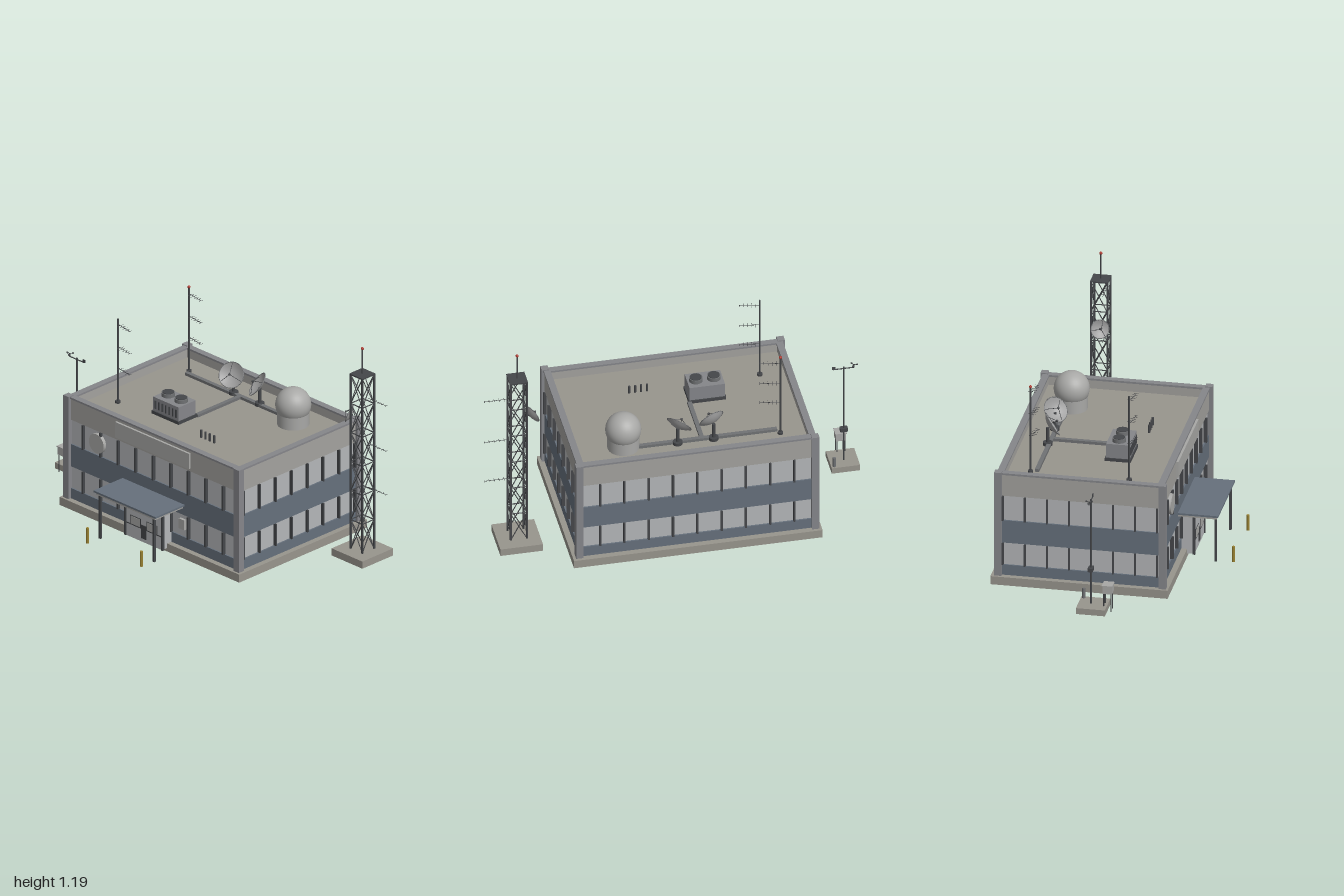
import * as THREE from 'three';

const mat = (color, side = THREE.FrontSide) => new THREE.MeshStandardMaterial({ color, side });
const M = {
  wall: mat(0xa3a29e), roof: mat(0x98958d), trim: mat(0x85868a), blue: mat(0x66707c),
  glass: mat(0xb4b6b8), dark: mat(0x45474a), metal: mat(0x707274), white: mat(0xa8a8a6),
  dish: mat(0xa0a0a0, THREE.DoubleSide), yellow: mat(0x9a8232), red: mat(0xb03a30),
};

export function createModel() {
  const root = new THREE.Group();
  const add = (name, geo, m, x, y, z, parent = root) => {
    const mesh = new THREE.Mesh(geo, m);
    mesh.name = name;
    mesh.position.set(x, y, z);
    parent.add(mesh);
    return mesh;
  };
  const group = (name) => {
    const g = new THREE.Group();
    g.name = name;
    root.add(g);
    return g;
  };
  // Box given by its limits on each axis
  const box = (name, m, x0, x1, y0, y1, z0, z1, parent) =>
    add(name, new THREE.BoxGeometry(x1 - x0, y1 - y0, z1 - z0), m, (x0 + x1) / 2, (y0 + y1) / 2, (z0 + z1) / 2, parent);
  const cyl = (name, m, r, x, y0, y1, z, parent, seg = 12) =>
    add(name, new THREE.CylinderGeometry(r, r, y1 - y0, seg), m, x, (y0 + y1) / 2, z, parent);
  const V = (x, y, z) => new THREE.Vector3(x, y, z);
  const rod = (name, m, a, b, r, parent, seg = 6) => {
    const d = b.clone().sub(a);
    const mesh = add(name, new THREE.CylinderGeometry(r, r, d.length(), seg), m, 0, 0, 0, parent);
    mesh.position.copy(a).addScaledVector(d, 0.5);
    mesh.quaternion.setFromUnitVectors(V(0, 1, 0), d.normalize());
    return mesh;
  };

  // Building shell: plinth and stacked wall bands
  const X0 = -0.67, X1 = 0.56, Z0 = -0.555, Z1 = 0.3, CX = -0.056, CZ = -0.128, ROOF = 0.555;
  const building = group('building');
  box('plinth', M.roof, -0.7, 0.59, 0, 0.045, -0.587, 0.33, building);
  const bands = [['baseBand', M.blue, 0.045, 0.102, 0], ['lowerWindows', M.glass, 0.102, 0.225, 0.008],
    ['middleBand', M.blue, 0.225, 0.35, 0], ['upperWindows', M.glass, 0.35, 0.487, 0.008], ['upperWall', M.wall, 0.487, ROOF, 0]];
  for (const [name, m, y0, y1, inset] of bands)
    box(name, m, X0 + inset, X1 - inset, y0, y1, Z0 + inset, Z1 - inset, building);
  box('roofDeck', M.roof, X0 + 0.02, X1 - 0.02, ROOF, ROOF + 0.003, Z0 + 0.02, Z1 - 0.02, building);

  // Parapet with coping, and corner pilasters
  const T = 0.025;
  for (const [x0, x1, z0, z1] of [[X0, X1, Z1 - T, Z1], [X0, X1, Z0, Z0 + T], [X0, X0 + T, Z0 + T, Z1 - T], [X1 - T, X1, Z0 + T, Z1 - T]]) {
    box('parapet', M.wall, x0, x1, ROOF, 0.605, z0, z1, building);
    box('coping', M.trim, x0 - 0.005, x1 + 0.005, 0.605, 0.615, z0 - 0.005, z1 + 0.005, building);
  }
  for (const x of [-0.668, 0.556])
    for (const z of [-0.552, 0.299]) box('cornerPilaster', M.trim, x - 0.019, x + 0.019, 0.045, 0.62, z - 0.019, z + 0.019, building);

  // Window mullions on all four sides
  for (const [y0, y1] of [[0.102, 0.225], [0.35, 0.487]]) {
    for (let i = -4; i <= 4; i++)
      for (const z of [Z0, Z1]) box('mullion', M.dark, CX + i * 0.126 - 0.005, CX + i * 0.126 + 0.005, y0, y1, z - 0.009, z + 0.009, building);
    for (let i = 0; i < 8; i++) {
      const z = 0.27 - i * 0.114;
      for (const x of [X0, X1]) box('mullion', M.dark, x - 0.009, x + 0.009, y0, y1, z - 0.004, z + 0.004, building);
    }
  }

  // Blank sign panel and round wall plate
  box('signPanel', M.white, -0.32, 0.21, 0.503, 0.59, Z1, Z1 + 0.012, building);
  add('wallPlate', new THREE.CylinderGeometry(0.053, 0.053, 0.02, 32), M.white, -0.457, 0.42, Z1, building).rotation.x = Math.PI / 2;
  box('intercom', M.white, 0.14, 0.18, 0.15, 0.205, Z1, Z1 + 0.015, building);

  // Entrance with canopy, posts and bollards
  const entrance = group('entrance');
  box('canopyTop', M.blue, -0.278, 0.166, 0.275, 0.285, 0.3, 0.508, entrance);
  box('canopyFascia', M.wall, -0.268, 0.156, 0.262, 0.275, 0.3, 0.5, entrance);
  box('canopyLamp', M.dark, -0.08, -0.03, 0.256, 0.262, 0.39, 0.42, entrance);
  for (const x of [-0.247, 0.139]) {
    box('canopyPost', M.dark, x - 0.006, x + 0.006, 0.02, 0.265, 0.484, 0.496, entrance);
    cyl('bollard', M.yellow, 0.008, x, 0.025, 0.11, 0.582, entrance);
  }
  box('vestibule', M.glass, -0.185, 0.073, 0.02, 0.24, 0.29, 0.368, entrance);
  for (const x of [-0.189, 0.077]) box('doorFrameSide', M.dark, x - 0.006, x + 0.006, 0.02, 0.245, 0.36, 0.373, entrance);
  box('doorFrameTop', M.dark, -0.189, 0.077, 0.238, 0.247, 0.36, 0.373, entrance);
  box('doorRail', M.dark, -0.185, 0.073, 0.092, 0.097, 0.366, 0.371, entrance);
  for (const x of [-0.115, 0.003]) {
    box('doorPanelFrame', M.dark, x - 0.038, x + 0.038, 0.095, 0.145, 0.366, 0.37, entrance);
    box('doorPanel', M.white, x - 0.034, x + 0.034, 0.098, 0.141, 0.366, 0.372, entrance);
  }
  box('doorLock', M.dark, -0.075, -0.037, 0.04, 0.115, 0.366, 0.371, entrance);

  // Rooftop cooling unit
  const cooler = group('coolingUnit');
  box('coolerBase', M.dark, -0.308, -0.114, ROOF, 0.575, -0.072, 0.062, cooler);
  box('coolerBody', M.trim, -0.303, -0.119, 0.575, 0.652, -0.066, 0.056, cooler);
  for (const x of [-0.257, -0.164]) {
    cyl('fanHousing', M.metal, 0.035, x, 0.652, 0.672, -0.007, cooler, 24);
    cyl('fanGrille', M.dark, 0.03, x, 0.67, 0.675, -0.007, cooler, 24);
  }
  for (let i = 0; i < 7; i++) {
    const x = -0.285 + i * 0.025;
    box('louvre', M.dark, x - 0.005, x + 0.005, 0.59, 0.635, 0.055, 0.06, cooler);
  }

  // Cable trays and vent pipes
  box('mainCableTray', M.metal, -0.505, 0.22, ROOF, 0.573, -0.395, -0.373, building);
  box('branchCableTray', M.metal, -0.128, -0.106, ROOF, 0.573, -0.373, -0.07, building);
  for (let i = 0; i < 4; i++) cyl('ventPipe', M.dark, 0.006, 0.07 + i * 0.031, ROOF, 0.6, 0.083, building);

  // Radome
  const radome = group('radome');
  cyl('radomeBase', M.white, 0.082, 0.287, ROOF, 0.64, -0.36, radome, 32);
  add('radomeBall', new THREE.SphereGeometry(0.092, 32, 20), M.white, 0.287, 0.668, -0.36, radome);

  // Dish antennas: a shallow bowl opening along its local y axis
  const dish = (name, x, y, z, n, r) => {
    const g = group(name);
    const pts = [0, 0.25, 0.5, 0.75, 1].map((t) => new THREE.Vector2(t * r, (t * t - 0.5) * r * 0.35));
    add('bowl', new THREE.LatheGeometry(pts, 32), M.dish, 0, 0, 0, g);
    add('rim', new THREE.TorusGeometry(r, 0.002, 6, 32), M.metal, 0, r * 0.175, 0, g).rotation.x = Math.PI / 2;
    add('receiver', new THREE.SphereGeometry(r * 0.1, 10, 8), M.dark, 0, r * 0.6, 0, g);
    for (let i = 0; i < 3; i++) {
      const a = i * Math.PI * 2 / 3;
      rod('strut', M.dark, V(Math.cos(a) * r * 0.9, r * 0.12, Math.sin(a) * r * 0.9), V(0, r * 0.6, 0), 0.0015, g);
    }
    g.position.set(x, y, z);
    g.quaternion.setFromUnitVectors(V(0, 1, 0), n.normalize());
  };
  dish('roofDishA', -0.172, 0.668, -0.38, V(0.32, 0.5, 0.78), 0.067);
  dish('roofDishB', 0.008, 0.668, -0.393, V(-0.55, 0.62, 0.6), 0.067);
  for (const x of [-0.175, 0.012]) {
    cyl('dishPost', M.dark, 0.009, x, ROOF, 0.655, -0.393);
    cyl('dishFoot', M.dark, 0.025, x, ROOF, 0.575, -0.393);
  }

  // Beam antenna pointing along +x with cross elements
  const beam = (x, y, z, len, yaw, span) => {
    const g = group('beamAntenna');
    rod('boom', M.dark, V(0, 0, 0), V(len, 0, 0), 0.0014, g);
    for (let i = 1; i <= 5; i++) {
      const s = span * (1.1 - i * 0.1);
      rod('element', M.dark, V(len * i / 5, 0, -s), V(len * i / 5, 0, s), 0.0011, g);
    }
    g.position.set(x, y, z);
    g.rotation.y = yaw;
  };
  for (const [z, top] of [[-0.415, 1.035], [0.095, 1.03]]) {
    cyl('roofMast', M.dark, 0.005, -0.517, ROOF, top, z);
    cyl('mastFoot', M.dark, 0.014, -0.517, ROOF, 0.57, z);
    for (const y of [1, 0.875, 0.755]) beam(-0.517, y, z, 0.105, -0.17, 0.02);
  }
  add('mastLamp', new THREE.SphereGeometry(0.008, 12, 8), M.red, -0.517, 1.037, -0.415);

  // Lattice tower
  const tower = group('tower');
  const TX = 0.828, TZ = -0.316, H = 0.042, P = 0.98 / 6;
  box('towerPad', M.roof, 0.717, 0.938, 0.015, 0.055, -0.427, -0.206, tower);
  const corners = [[-H, -H], [H, -H], [H, H], [-H, H]].map(([x, z]) => [TX + x, TZ + z]);
  corners.forEach(([ax, az], i) => {
    const [bx, bz] = corners[(i + 1) % 4];
    box('towerLeg', M.dark, ax - 0.0045, ax + 0.0045, 0.055, 1.035, az - 0.0045, az + 0.0045, tower);
    for (let k = 0; k < 6; k++) {
      const y0 = 0.055 + k * P, y1 = y0 + P;
      rod('crossBrace', M.dark, V(ax, y0, az), V(bx, y1, bz), 0.0026, tower);
      rod('crossBrace', M.dark, V(bx, y0, bz), V(ax, y1, az), 0.0026, tower);
      rod('ringBrace', M.dark, V(ax, y1, az), V(bx, y1, bz), 0.003, tower);
    }
  });
  box('towerTop', M.dark, TX - 0.047, TX + 0.047, 1.033, 1.04, TZ - 0.047, TZ + 0.047, tower);
  cyl('towerMast', M.dark, 0.004, TX, 1.04, 1.18, TZ, tower);
  add('towerLamp', new THREE.SphereGeometry(0.008, 12, 8), M.red, TX, 1.18, TZ, tower);
  for (const y of [0.915, 0.66, 0.415]) beam(TX + H, y, TZ, 0.128, 0, 0.014);
  dish('towerDish', 0.753, 0.79, -0.308, V(-0.82, 0.33, 0.45), 0.048);
  rod('towerDishArm', M.dark, V(0.76, 0.787, -0.311), V(TX - H, 0.787, TZ + H), 0.004, tower);

  // Weather station
  const station = group('weatherStation');
  const SX = -0.928, SZ = -0.022;
  box('stationPad', M.roof, -1, -0.853, 0.015, 0.048, -0.085, 0.065, station);
  cyl('stationMast', M.dark, 0.005, SX, 0.048, 0.63, SZ, station);
  box('stationControlBox', M.dark, SX - 0.02, SX + 0.02, 0.23, 0.25, SZ - 0.013, SZ + 0.013, station);
  rod('crossArm', M.dark, V(-0.98, 0.622, SZ), V(-0.875, 0.622, SZ), 0.003, station);
  cyl('anemometerShaft', M.dark, 0.003, -0.98, 0.622, 0.64, SZ, station);
  for (let i = 0; i < 3; i++) {
    const a = Math.PI / 3 + i * Math.PI * 2 / 3, cx = -0.98 + Math.cos(a) * 0.017, cz = SZ + Math.sin(a) * 0.017;
    rod('cupArm', M.dark, V(-0.98, 0.638, SZ), V(cx, 0.638, cz), 0.0015, station);
    add('cup', new THREE.SphereGeometry(0.005, 8, 6), M.dark, cx, 0.638, cz, station);
  }
  box('windVane', M.dark, -0.885, -0.868, 0.622, 0.638, SZ - 0.0015, SZ + 0.0015, station);
  box('instrumentScreen', M.white, SX - 0.026, SX + 0.026, 0.118, 0.16, 0.043, 0.092, station);
  box('screenRoof', M.white, SX - 0.03, SX + 0.03, 0.16, 0.165, 0.04, 0.095, station);
  for (const x of [-0.02, 0.02])
    for (const z of [0.049, 0.086]) cyl('screenLeg', M.dark, 0.003, SX + x, 0.02, 0.118, z, station, 8);
  cyl('rainGauge', M.metal, 0.008, -0.869, 0.048, 0.102, -0.07, station, 16);

  return root;
}
